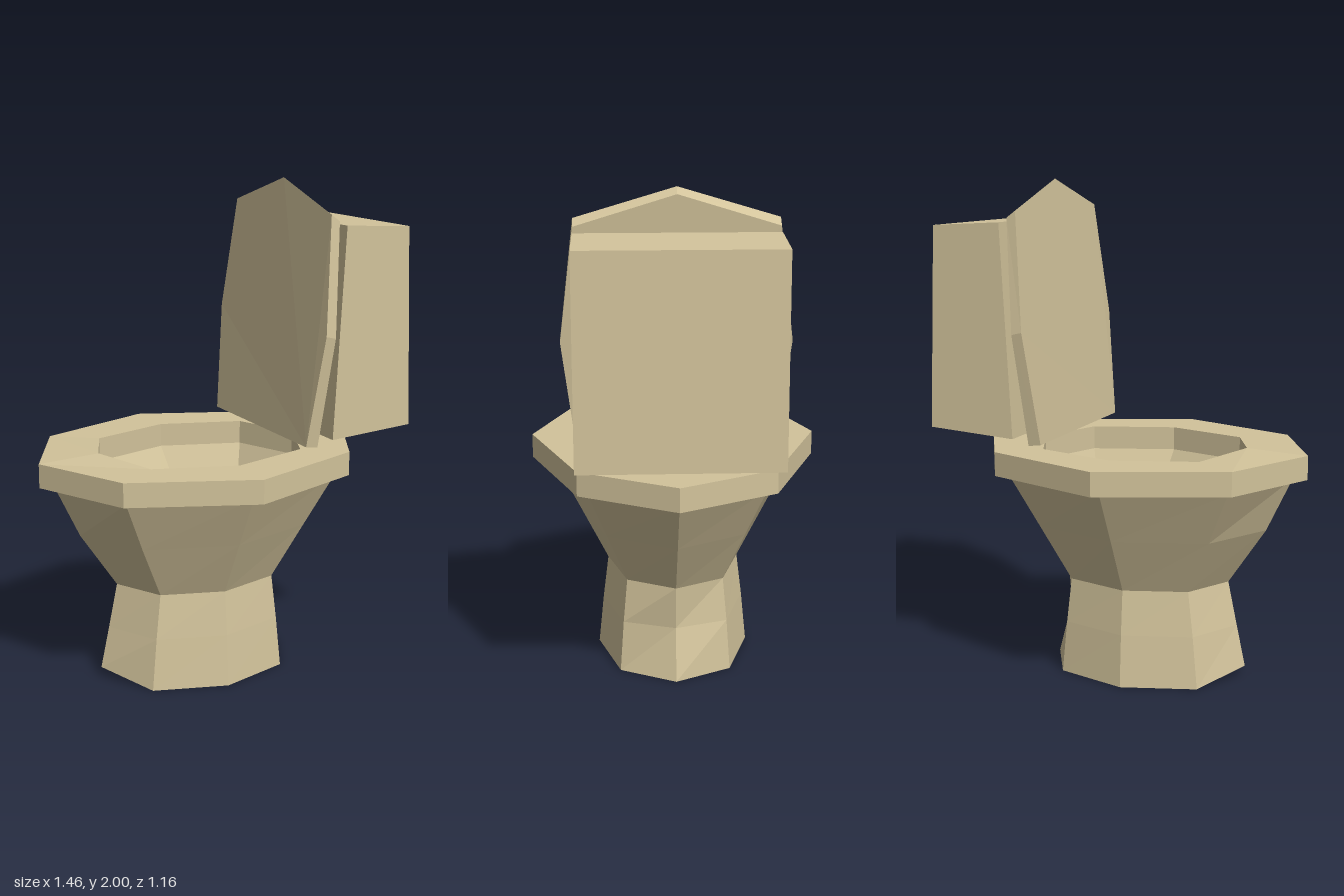
import * as THREE from 'three';

const ceramic = new THREE.MeshStandardMaterial({ color: 0xd2c39b, flatShading: true });
ceramic.name = 'ceramic';
const water = new THREE.MeshStandardMaterial({ color: 0x3f859c, flatShading: true });
water.name = 'water';

// Eight-sided ring, mirrored across z: x of front, front corner, side, back corner, back
function ring(y, [f, fc, s, bc, b], zCorner, zSide, frontY = y) {
  return [
    [f, frontY, 0], [fc, y, zCorner], [s, y, zSide], [bc, y, zCorner],
    [b, y, 0], [bc, y, -zCorner], [s, y, -zSide], [fc, y, -zCorner],
  ];
}

// Skin a list of rings into a faceted surface, with optional end caps
function loft(name, rings, { bottom = false, top = false, material = ceramic } = {}) {
  const pos = [];
  const tri = (a, b, c) => pos.push(...a, ...b, ...c);
  const n = rings[0].length;
  for (let r = 0; r + 1 < rings.length; r++) {
    const a = rings[r], b = rings[r + 1];
    for (let i = 0; i < n; i++) {
      const j = (i + 1) % n;
      tri(a[i], a[j], b[j]);
      tri(a[i], b[j], b[i]);
    }
  }
  // Caps fan out from the second corner
  for (let k = 1; k < n - 1; k++) {
    const i = (1 + k) % n, j = (2 + k) % n;
    if (bottom) tri(rings[0][1], rings[0][j], rings[0][i]);
    const last = rings[rings.length - 1];
    if (top) tri(last[1], last[i], last[j]);
  }
  const geo = new THREE.BufferGeometry();
  geo.setAttribute('position', new THREE.Float32BufferAttribute(pos, 3));
  geo.computeVertexNormals();
  const mesh = new THREE.Mesh(geo, material);
  mesh.name = name;
  return mesh;
}

export function createModel() {
  const group = new THREE.Group();
  group.name = 'toilet';

  // Pedestal and outer bowl
  const base = ring(0, [-0.485, -0.355, -0.06, 0.23, 0.345], 0.225, 0.315, 0.04);
  const ankle = ring(0.21, [-0.448, -0.331, -0.057, 0.215, 0.285], 0.211, 0.294);
  const waist = ring(0.39, [-0.41, -0.305, -0.055, 0.2, 0.3], 0.195, 0.272);
  const belly = ring(0.62, [-0.565, -0.415, -0.053, 0.302, 0.453], 0.274, 0.388);
  const bowlTop = ring(0.84, [-0.67, -0.515, -0.05, 0.4, 0.6], 0.35, 0.5);
  group.add(loft('pedestal', [base, ankle, waist], { bottom: true }));
  group.add(loft('bowlOutside', [waist, belly, bowlTop]));

  // Rim: underside, outer wall, top and inner wall
  const outerX = [-0.73, -0.54, -0.05, 0.445, 0.645];
  const innerX = [-0.48, -0.37, -0.04, 0.29, 0.4];
  const innerLow = ring(0.84, innerX, 0.26, 0.365);
  group.add(loft('rim', [
    bowlTop,
    ring(0.84, outerX, 0.385, 0.578),
    ring(0.937, outerX, 0.385, 0.578),
    ring(0.937, innerX, 0.26, 0.365, 0.95),
    innerLow,
  ]));

  // Inner bowl and the water at its bottom
  const waterEdge = ring(0.5, [-0.21, -0.15, 0.02, 0.2, 0.255], 0.132, 0.188);
  group.add(loft('bowlInside', [innerLow, waterEdge]));
  group.add(loft('waterSurface', [waterEdge], { top: true, material: water }));

  // Raised lid: the same seven-sided outline on the front and back faces
  const lidFace = ([x0, y0], [x1, y1], [x2, y2], [x3, y3]) => [
    [x0, y0, -0.385], [x0, y0, 0.385], [x1, y1, 0.44], [x2, y2, 0.385],
    [x3, y3, 0], [x2, y2, -0.385], [x1, y1, -0.44],
  ];
  group.add(loft('lid', [
    lidFace([0.295, 0.973], [0.335, 1.415], [0.375, 1.858], [0.375, 1.975]),
    lidFace([0.243, 0.98], [0.293, 1.425], [0.338, 1.885], [0.346, 2]),
  ], { bottom: true, top: true }));

  // Tank: slanted side profile swept across the width
  const profile = [[0.365, 0.995], [0.725, 1.02], [0.695, 1.825], [0.41, 1.84]];
  const section = (z) => profile.map(([x, y]) => [x, y, z]);
  group.add(loft('tank', [section(-0.385), section(0.385)], { bottom: true, top: true }));

  return group;
}
